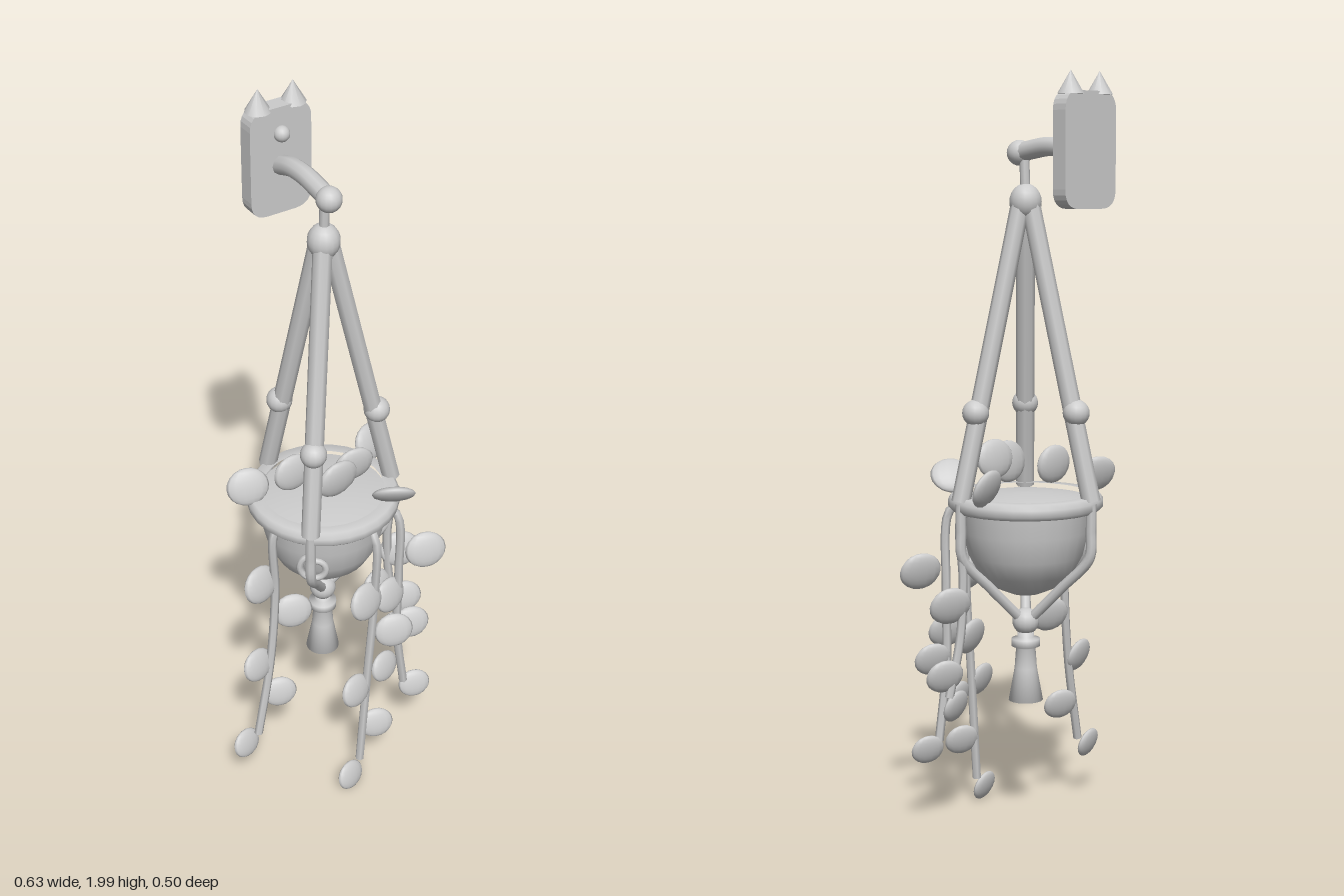
import * as THREE from 'three';

const gray = new THREE.MeshStandardMaterial({ color: 0xcccccc });
gray.name = 'light gray';

const CX = 0.02, CZ = 0.005; // hanging axis
const v = (x, y, z) => new THREE.Vector3(x, y, z);

export function createModel() {
  const model = new THREE.Group();
  model.name = 'hangingPlanter';

  const add = (name, geometry, x = 0, y = 0, z = 0, parent = model) => {
    const mesh = new THREE.Mesh(geometry, gray);
    mesh.name = name;
    mesh.position.set(x, y, z);
    parent.add(mesh);
    return mesh;
  };
  const ball = (name, r, x, y, z, sy = 1) => {
    const mesh = add(name, new THREE.SphereGeometry(r, 16, 12), x, y, z);
    mesh.scale.y = sy;
    return mesh;
  };
  const tube = (name, points, r, sides = 8, parent = model) =>
    add(name, new THREE.TubeGeometry(new THREE.CatmullRomCurve3(points), 28, r, sides), 0, 0, 0, parent);
  const rod = (name, a, b, r) => {
    const mesh = add(name, new THREE.CylinderGeometry(r, r, a.distanceTo(b), 8));
    mesh.position.copy(a).add(b).multiplyScalar(0.5);
    mesh.quaternion.setFromUnitVectors(v(0, 1, 0), b.clone().sub(a).normalize());
    return mesh;
  };
  // Profiles run from the bottom up so the faces point outward
  const lathe = (name, profile) =>
    add(name, new THREE.LatheGeometry(profile.map(p => new THREE.Vector2(...p)), 28), CX, 0, CZ);

  // Wall plate with rounded corners, two pointed ears and a screw
  const w = 0.0875, h = 0.145, c = 0.048;
  const plate = new THREE.Shape();
  plate.moveTo(-w + c, -h);
  plate.lineTo(w - c, -h);
  plate.quadraticCurveTo(w, -h, w, -h + c);
  plate.lineTo(w, h - c);
  plate.quadraticCurveTo(w, h, w - c, h);
  plate.lineTo(-w + c, h);
  plate.quadraticCurveTo(-w, h, -w, h - c);
  plate.lineTo(-w, -h + c);
  plate.quadraticCurveTo(-w, -h, -w + c, -h);
  add('wallPlate', new THREE.ExtrudeGeometry(plate, { depth: 0.045, bevelEnabled: false, curveSegments: 6 }), CX, 1.805, -0.235);
  for (const s of [-1, 1])
    add('plateEar', new THREE.ConeGeometry(0.034, 0.058, 10), CX + s * 0.05, 1.971, -0.214);
  ball('screw', 0.021, CX, 1.88, -0.186);

  // Bracket arm, end ball, hook rod and top bead
  tube('bracketArm', [v(CX, 1.79, -0.2), v(CX, 1.81, -0.14), v(CX, 1.815, -0.08), v(CX, 1.808, -0.02), v(CX, 1.8, 0.028)], 0.025, 10);
  ball('armBall', 0.033, CX, 1.8, 0.028);
  rod('hookRod', v(CX, 1.69, CZ), v(CX, 1.8, CZ + 0.005), 0.013);
  ball('topBead', 0.042, CX, 1.675, CZ, 1.12);

  // Three cords with beads, carried on below the bowl to the knot
  for (const degrees of [12, 132, 252]) {
    const a = THREE.MathUtils.degToRad(degrees);
    const at = (r, y) => v(CX + r * Math.cos(a), y, CZ + r * Math.sin(a));
    rod('cord', at(0.195, 0.905), at(0.015, 1.67), 0.025);
    const b = at(0.15, 1.135);
    ball('cordBead', 0.035, b.x, b.y, b.z);
    tube('lowerCord', [at(0.195, 0.9), at(0.195, 0.83), at(0.19, 0.755), at(0.11, 0.67), at(0.015, 0.575)], 0.014);
  }

  // Bowl, rim and soil
  lathe('bowl', [[0, 0.64], [0.04, 0.645], [0.085, 0.664], [0.125, 0.7], [0.152, 0.75], [0.168, 0.815], [0.174, 0.9]]);
  lathe('rim', [[0.165, 0.872], [0.195, 0.872], [0.205, 0.882], [0.205, 0.9], [0.195, 0.914], [0.165, 0.914]]);
  lathe('soil', [[0.17, 0.9], [0.12, 0.909], [0.06, 0.915], [0, 0.917]]);

  // Small spiral curl on the bowl
  const spiral = [];
  for (let i = 0; i <= 12; i++) {
    const t = 1.6 + i * 0.75, r = 0.045 - i * 0.0025;
    spiral.push(v(r * Math.cos(t), r * Math.sin(t), 0));
  }
  const curl = tube('curl', spiral, 0.009);
  curl.position.set(-0.088, 0.775, 0.135);
  curl.rotation.y = -0.6;

  // Knot and tassel
  ball('knot', 0.036, CX, 0.567, CZ);
  lathe('tassel', [[0, 0.352], [0.046, 0.352], [0.03, 0.44], [0.026, 0.495], [0.038, 0.5],
    [0.038, 0.52], [0.022, 0.525], [0.022, 0.55], [0, 0.55]]);

  // Leaves: flattened balls
  const leafGeometry = new THREE.SphereGeometry(1, 14, 10);
  const leaf = (name, x, y, z, yaw, pitch, size = 1, parent = model) => {
    const mesh = add(name, leafGeometry, x, y, z, parent);
    mesh.scale.set(0.058, 0.052, 0.017).multiplyScalar(size);
    mesh.rotation.set(pitch, yaw, 0, 'YXZ');
  };
  const crown = [
    [-0.172, 0.952, -0.064, -0.28, -0.35], [0.212, 0.953, -0.058, 0.28, -0.35],
    [0.135, 0.953, 0.17, -0.5, 0.7], [0.02, 0.99, 0.075, 0.05, 0.1, 1.08],
    [0.08, 1.005, 0.06, -0.1, 0.1], [-0.06, 0.985, -0.017, 0, -0.1]
  ];
  for (const p of crown) leaf('crownLeaf', ...p);

  // Trailing vines: path points, then leaves from top to tip
  const vines = [
    { path: [[-0.13, 0.885, 0.04], [-0.158, 0.865, 0.045], [-0.155, 0.65, 0.04], [-0.18, 0.42, 0.05], [-0.232, 0.18, 0.065]],
      leaves: [[-0.2, 0.7, 0.04], [-0.1, 0.56, 0.04], [-0.22, 0.425, 0.05], [-0.155, 0.295, 0.055], [-0.27, 0.16, 0.062]] },
    { path: [[0.05, 0.885, 0.17], [0.055, 0.865, 0.205], [0.055, 0.65, 0.207], [0.035, 0.4, 0.212], [0.01, 0.08, 0.218]],
      leaves: [[0.02, 0.67, 0.22], [0.115, 0.52, 0.217], [-0.01, 0.36, 0.223], [0.06, 0.2, 0.223], [-0.03, 0.047, 0.232]] },
    { path: [[0.13, 0.885, 0.12], [0.16, 0.865, 0.15], [0.17, 0.65, 0.155], [0.17, 0.45, 0.155], [0.198, 0.24, 0.155]],
      leaves: [[0.25, 0.71, 0.165], [0.135, 0.6, 0.165], [0.21, 0.465, 0.165], [0.12, 0.345, 0.17], [0.23, 0.22, 0.165]] },
    { path: [[0.17, 0.885, 0.04], [0.205, 0.865, 0.05], [0.205, 0.7, 0.045], [0.215, 0.55, 0.045], [0.25, 0.39, 0.05]],
      leaves: [[0.245, 0.635, 0.05], [0.165, 0.54, 0.06], [0.265, 0.45, 0.05], [0.22, 0.36, 0.06]] }
  ];
  for (const { path, leaves } of vines) {
    const vine = new THREE.Group();
    vine.name = 'vine';
    model.add(vine);
    tube('vineStem', path.map(p => v(...p)), 0.012, 6, vine);
    const middle = (path[2][0] + path[4][0]) / 2;
    leaves.forEach(([x, y, z], i) =>
      leaf('vineLeaf', x, y, z, x > middle ? -0.3 : 0.25, -0.28, 1 - i * 0.05, vine));
  }

  return model;
}
